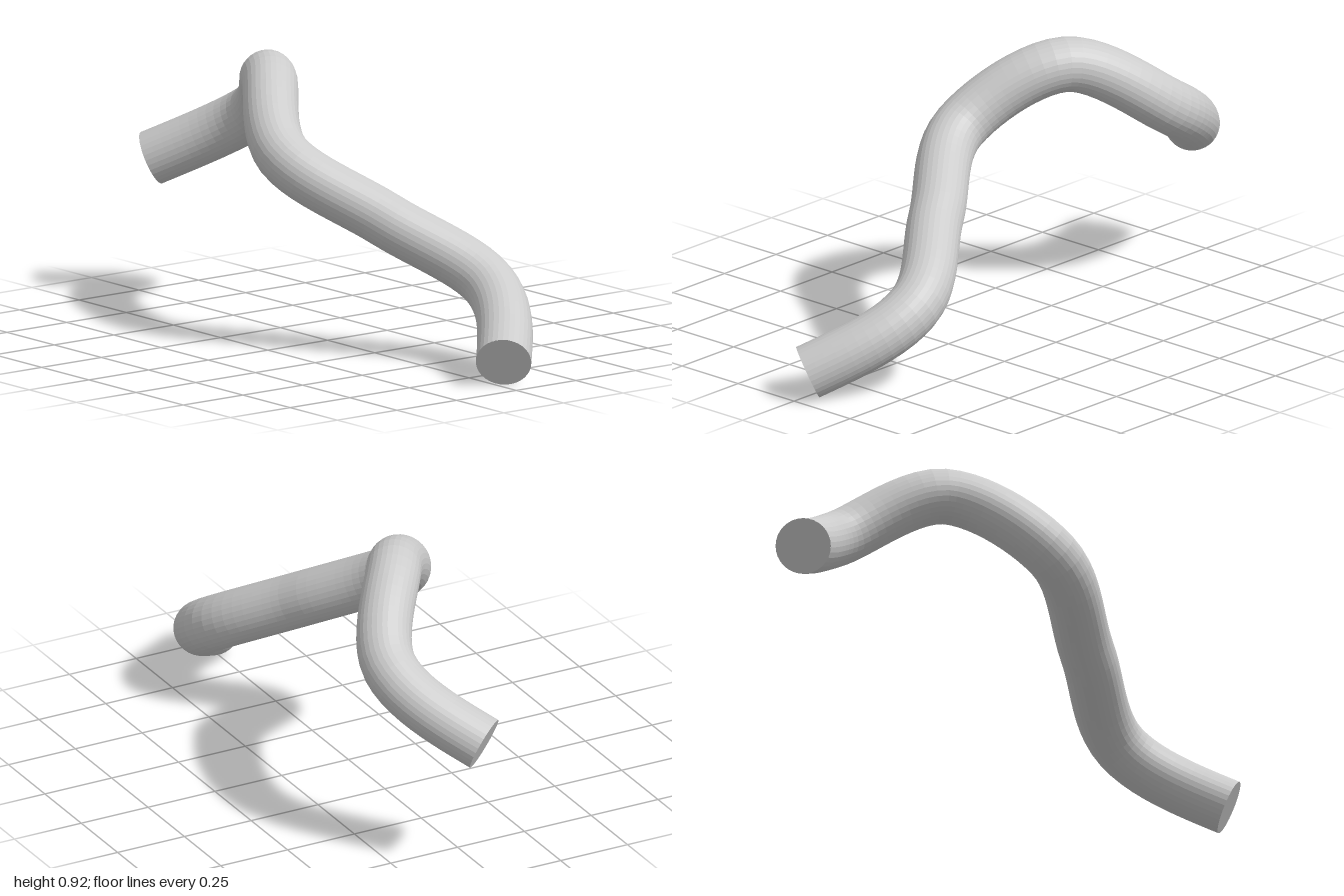
import * as THREE from 'three';

const RADIUS = 0.0915;
const SIDES = 32;
const RINGS = 66;

// Smooth path: each inner tangent is parallel to the chord of its neighbours,
// and the curvature fades to zero at both ends.
function smoothPath(points) {
  const last = points.length - 1;
  const tangents = points.map((p, i) =>
    i > 0 && i < last ? points[i + 1].clone().sub(points[i - 1]).multiplyScalar(0.5) : null);
  const endTangent = (from, to, inner) =>
    to.clone().sub(from).multiplyScalar(1.5).addScaledVector(inner, -0.5);
  tangents[0] = endTangent(points[0], points[1], tangents[1]);
  tangents[last] = endTangent(points[last - 1], points[last], tangents[last - 1]);

  const path = new THREE.CurvePath();
  for (let i = 0; i < last; i++) {
    path.add(new THREE.CubicBezierCurve3(
      points[i],
      points[i].clone().addScaledVector(tangents[i], 1 / 3),
      points[i + 1].clone().addScaledVector(tangents[i + 1], -1 / 3),
      points[i + 1]));
  }
  return { path, tangents };
}

export function createModel() {
  const group = new THREE.Group();
  group.name = 'bentTube';
  const material = new THREE.MeshStandardMaterial({ color: 0xcccccc, flatShading: true });

  // The path swings from side to side, climbing to a peak and then descending
  const swing = [0, 0.183, 0, -0.183, 0, 0.183, 0];
  const height = [0.085, 0.272, 0.458, 0.645, 0.829, 0.645, 0.458];
  const points = swing.map((x, i) => new THREE.Vector3(x, height[i], 0.311 * (3 - i)));
  const { path, tangents } = smoothPath(points);

  // Tube wall
  const wall = new THREE.Mesh(new THREE.TubeGeometry(path, RINGS, RADIUS, SIDES, false), material);
  wall.name = 'tubeWall';
  group.add(wall);

  // Flat discs closing both ends
  const addCap = (name, position, outward) => {
    const cap = new THREE.Mesh(new THREE.CircleGeometry(RADIUS, SIDES), material);
    cap.name = name;
    cap.position.copy(position);
    cap.quaternion.setFromUnitVectors(new THREE.Vector3(0, 0, 1), outward.normalize());
    group.add(cap);
  };
  addCap('frontCap', points[0], tangents[0].clone().negate());
  addCap('backCap', points[6], tangents[6].clone());

  return group;
}
